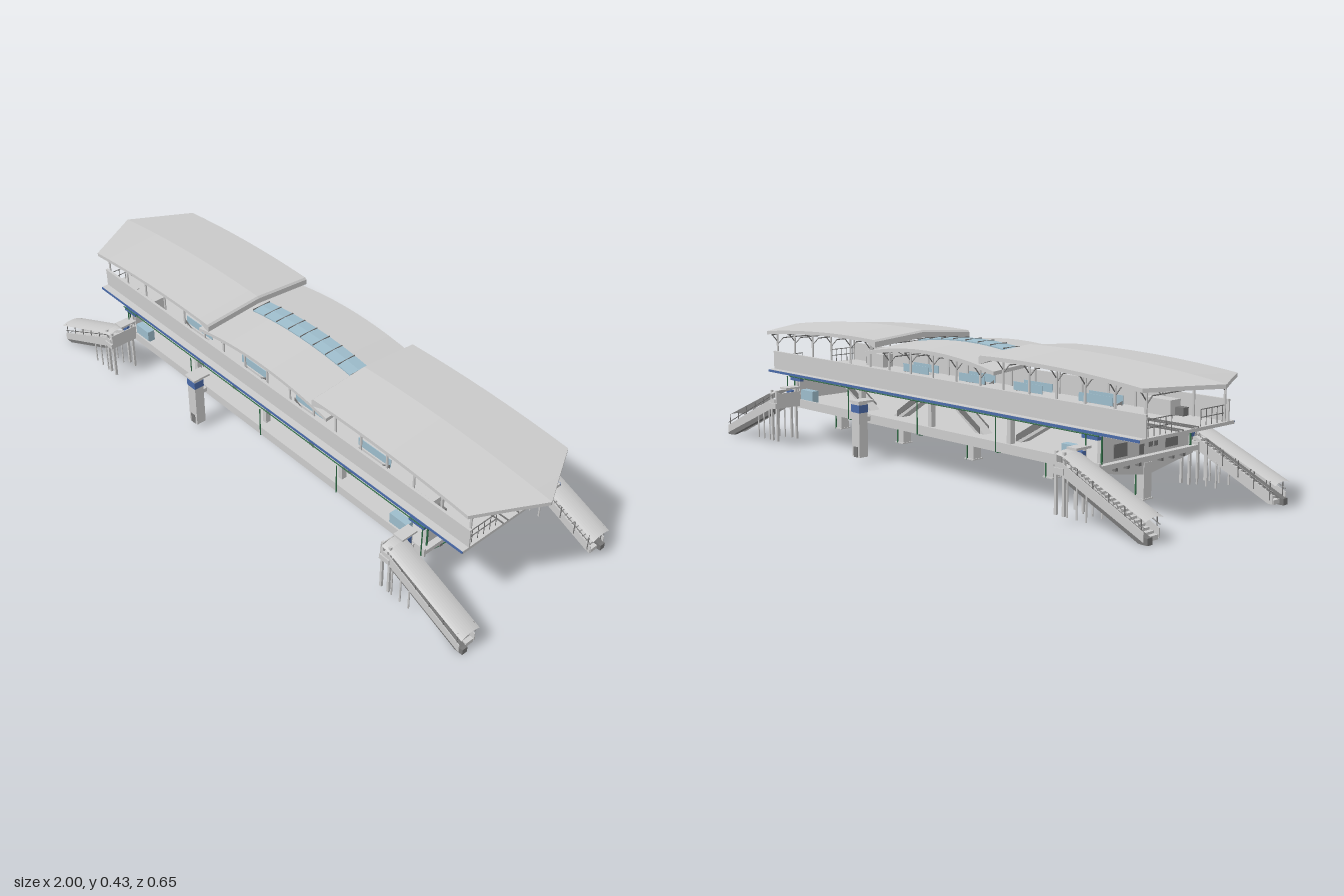
import * as THREE from 'three';

const paint = (color) => new THREE.MeshStandardMaterial({ color, flatShading: true, side: THREE.DoubleSide });
const grey = paint(0xcccccc), dark = paint(0x777777), blue = paint(0x4a6aa8);
const glass = paint(0x9dbccb), green = paint(0x2f6b45);

function add(parent, name, geometry, material = grey) {
  const mesh = new THREE.Mesh(geometry, material);
  mesh.name = name;
  parent.add(mesh);
  return mesh;
}

// box given by its limits on each axis
function box(parent, name, [x0, x1], [y0, y1], [z0, z1], material) {
  const g = new THREE.BoxGeometry(Math.abs(x1 - x0), Math.abs(y1 - y0), Math.abs(z1 - z0));
  g.translate((x0 + x1) / 2, (y0 + y1) / 2, (z0 + z1) / 2);
  return add(parent, name, g, material);
}

// thin round bar between two points
function bar(parent, name, a, b, r = 0.002, material = grey) {
  const p = new THREE.Vector3(...a), d = new THREE.Vector3(...b).sub(p);
  const g = new THREE.CylinderGeometry(r, r, d.length(), 6);
  const mesh = add(parent, name, g, material);
  mesh.position.copy(p).addScaledVector(d, 0.5);
  mesh.quaternion.setFromUnitVectors(new THREE.Vector3(0, 1, 0), d.normalize());
  return mesh;
}

// outline in x and y, pushed out from z0 to z1
function prism(parent, name, points, z0, z1, material) {
  const shape = new THREE.Shape(points.map(([x, y]) => new THREE.Vector2(x, y)));
  const g = new THREE.ExtrudeGeometry(shape, { depth: z1 - z0, bevelEnabled: false });
  return add(parent, name, g.translate(0, 0, z0), material);
}

// closed solid from cross-sections that run along +x, ridge point first
function loft(sections) {
  const n = sections[0].length, pos = sections.flat(2), index = [];
  for (let i = 0; i < sections.length - 1; i++)
    for (let j = 0; j < n; j++) {
      const a = i * n + j, d = i * n + (j + 1) % n;
      index.push(a, a + n, d + n, a, d + n, d);
    }
  const e = (sections.length - 1) * n;
  for (let j = 1; j < n - 1; j++) index.push(0, j, j + 1, e, e + j + 1, e + j);
  const g = new THREE.BufferGeometry();
  g.setAttribute('position', new THREE.Float32BufferAttribute(pos, 3));
  g.setIndex(index);
  g.computeVertexNormals();
  return g;
}

// ridge heights and gable roof shells
const outerRidge = (x) => 0.428 - 0.041 * ((Math.abs(x) - 0.4) / 0.6) ** 2;
const centreRidge = (x) => 0.415 - 0.033 * (x / 0.31) ** 2;
const halfWidth = (x) => (x <= 0.885 ? 0.21 : Math.max(0.002, 0.21 * (1 - x) / 0.115));
const drop = (z) => 0.08 * Math.abs(z);
function roofShell(xs, ridge, width, thick) {
  return loft(xs.map((x) => {
    const y = ridge(x), w = width(x), e = y - drop(w), t = thick(x);
    return [[x, y, 0], [x, e, -w], [x, e - t, -w], [x, y - t, 0], [x, e - t, w], [x, e, w]];
  }));
}

// posts, brackets and a truss carrying the roof at one station
function roofFrame(parent, x, ridge) {
  const f = new THREE.Group();
  f.name = 'roofFrame';
  const y = ridge(x) - 0.012, at = (z) => y - drop(z), low = y - 0.034;
  bar(f, 'tieBar', [x, low, -0.15], [x, low, 0.15], 0.002, dark);
  for (const s of [-1, 1]) {
    bar(f, 'roofPost', [x, 0.245, s * 0.175], [x, at(0.175), s * 0.175], 0.004);
    bar(f, 'rafter', [x, y - 0.003, 0], [x, at(0.2) - 0.003, s * 0.2], 0.003, dark);
    bar(f, 'bracket', [x, low - 0.022, s * 0.175], [x, low, s * 0.15], 0.002, dark);
    bar(f, 'bracket', [x, low - 0.012, s * 0.175], [x, at(0.2), s * 0.2], 0.002, dark);
    for (let k = 0; k < 4; k++) {
      const z = s * k * 0.0375, z2 = s * (k + 1) * 0.0375;
      bar(f, 'trussWeb', [x, k % 2 ? low : at(z), z], [x, k % 2 ? at(z2) : low, z2], 0.0012, dark);
    }
  }
  parent.add(f);
}

// sloping stair and escalator with barrel canopy; s is the side in z
function entrance(parent, s) {
  const g = new THREE.Group();
  g.name = 'entranceStair';
  const x0 = 0.7, x1 = 0.99, y0 = 0.155, n = 20, dx = (x1 - x0) / n, dy = (y0 - 0.012) / n;
  const steps = [];
  for (let i = 0; i < n; i++) steps.push([x0 + i * dx, y0 - i * dy], [x0 + (i + 1) * dx, y0 - i * dy]);
  steps.push([x1, 0.006], [x1 - 0.02, 0.006], [x0, y0 - 0.025]);
  prism(g, 'steps', steps, 0.26, 0.29);
  prism(g, 'escalator', [[x0, y0], [x1, 0.02], [1, 0.02], [1, 0], [x1 - 0.02, 0], [x0, y0 - 0.035]], 0.295, 0.315, dark);
  for (const z of [0.254, 0.318]) {
    prism(g, 'parapet', [[0.68, 0.17], [x0, 0.17], [x1, 0.035], [x1, 0.008], [x0, 0.135], [0.68, 0.135]], z, z + 0.003);
    bar(g, 'handrail', [x0, 0.182, z], [x1, 0.045, z], 0.0015, dark);
    for (let i = 0; i < 6; i++) {
      const x = 0.7 + i * 0.056, t = (x - 0.68) / 0.32;
      bar(g, 'canopyPost', [x, 0.15 - t * 0.14, z], [x, 0.193 - t * 0.125, z], 0.0018, dark);
    }
    for (const x of [0.72, 0.755, 0.79]) bar(g, 'stairLeg', [x, 0.02, z], [x, 0.145 - (x - 0.7) * 0.49, z], 0.003);
  }
  const canopy = new THREE.PlaneGeometry(0.32, 0.075, 12, 10).rotateX(-Math.PI / 2);
  const p = canopy.attributes.position;
  for (let i = 0; i < p.count; i++) {
    const t = p.getX(i) / 0.32 + 0.5, z = p.getZ(i) / 0.0375;
    p.setXYZ(i, 0.68 + t * 0.32, 0.2 - 0.127 * Math.max(0, (t - 0.06) / 0.94) - 0.008 * z * z, 0.2875 + p.getZ(i));
  }
  canopy.computeVertexNormals();
  add(g, 'stairCanopy', canopy);
  // landing that joins the stair to the concourse
  box(g, 'landing', [0.67, 0.71], [0.137, 0.155], [0.21, 0.325]);
  box(g, 'landingRoof', [0.675, 0.712], [0.198, 0.205], [0.215, 0.275]);
  box(g, 'landingSign', [0.675, 0.735], [0.222, 0.232], [0.2, 0.215], blue);
  box(g, 'landingPanel', [0.68, 0.71], [0.168, 0.193], [0.235, 0.25], blue);
  box(g, 'gateKiosk', [0.6, 0.67], [0.155, 0.195], [0.19, 0.216], glass);
  box(g, 'landingWall', [0.669, 0.672], [0.155, 0.19], [0.22, 0.32]);
  for (const x of [0.675, 0.705]) for (const z of [0.235, 0.315])
    box(g, 'landingLeg', [x - 0.004, x + 0.004], [0.02, 0.2], [z - 0.004, z + 0.004]);
  g.scale.z = s;
  parent.add(g);
}

function liftTower(parent) {
  const g = new THREE.Group();
  g.name = 'liftTower';
  box(g, 'liftShaft', [0.263, 0.303], [0.02, 0.205], [-0.27, -0.235]);
  box(g, 'liftCap', [0.258, 0.308], [0.203, 0.21], [-0.275, -0.21]);
  box(g, 'liftBand', [0.262, 0.304], [0.17, 0.196], [-0.271, -0.234], blue);
  box(g, 'liftDoor', [0.273, 0.293], [0.02, 0.055], [-0.272, -0.27], dark);
  box(g, 'liftBridge', [0.263, 0.303], [0.14, 0.155], [-0.24, -0.21]);
  parent.add(g);
}

// inner stair between concourse and platform, with its guard
function innerStair(parent, xTop, xLow, z) {
  const d = Math.sign(xLow - xTop) * 0.02;
  prism(parent, 'innerStair', [[xTop, 0.243], [xTop + d, 0.243], [xLow + d, 0.155], [xLow - d, 0.155], [xTop, 0.225]], z - 0.018, z + 0.018);
  for (const s of [-1, 1]) {
    prism(parent, 'innerBalustrade', [[xTop, 0.258], [xLow, 0.175], [xLow, 0.155], [xTop, 0.235]], z + s * 0.019 - 0.001, z + s * 0.019 + 0.001, dark);
    box(parent, 'stairwellGuard', [xTop, xLow], [0.247, 0.275], [z + s * 0.024 - 0.001, z + s * 0.024 + 0.001], glass);
  }
}

function endWall(parent) {
  const g = new THREE.Group();
  g.name = 'endWall';
  box(g, 'wall', [0.72, 0.73], [0.15, 0.236], [-0.195, 0.195]);
  box(g, 'endSign', [0.73, 0.735], [0.195, 0.222], [-0.052, 0.052], blue);
  box(g, 'endDoor', [0.73, 0.732], [0.155, 0.185], [0.012, 0.032], dark);
  for (const z of [-0.05, -0.026]) box(g, 'smallWindow', [0.73, 0.732], [0.172, 0.187], [z, z + 0.017], dark);
  for (const z of [-0.142, 0.085]) box(g, 'louvre', [0.73, 0.732], [0.16, 0.2], [z, z + 0.057], dark);
  for (const z of [-0.197, 0.197]) bar(g, 'drainPipe', [0.735, 0.15, z], [0.735, 0.24, z], 0.003, green);
  parent.add(g);
}

// everything at one end; the other end is the same turned half round
function buildEnd() {
  const g = new THREE.Group();
  g.name = 'stationEnd';
  const xs = [0.25, 0.256, 0.3, 0.36, 0.42, 0.5, 0.58, 0.66, 0.74, 0.82, 0.885, 0.945, 1];
  const rounded = (x) => outerRidge(x) - (x < 0.253 ? 0.006 : 0);
  add(g, 'outerRoof', roofShell(xs, rounded, halfWidth, (x) => (x < 0.253 ? 0.018 : x < 0.3 ? 0.026 : 0.012)));
  for (let i = 0; i < 6; i++) roofFrame(g, 0.32 + i * 0.11, outerRidge);
  for (let z = -0.18; z < 0.19; z += 0.06)
    for (let i = 1; i < xs.length - 3; i++)
      bar(g, 'purlin', [xs[i], outerRidge(xs[i]) - drop(z) - 0.015, z], [xs[i + 1], outerRidge(xs[i + 1]) - drop(z) - 0.015, z], 0.002, dark);
  for (const s of [-1, 1]) {
    entrance(g, s);
    innerStair(g, 0.5, 0.36, s * 0.14);
    innerStair(g, 0.07, 0.2, s * 0.14);
    // platform end rails and equipment
    for (const y of [0.27, 0.293]) bar(g, 'endRail', [0.87, y, s * 0.065], [0.87, y, s * 0.175], 0.0015, dark);
    for (let k = 0; k < 5; k++) bar(g, 'railPost', [0.87, 0.245, s * (0.065 + k * 0.025)], [0.87, 0.293, s * (0.065 + k * 0.025)], 0.0012, dark);
    box(g, 'platformRoom', [0.62, 0.72], [0.245, 0.293], [s * 0.118, s * 0.165]);
    box(g, 'equipmentBox', [0.72, 0.75], [0.247, 0.272], [s * 0.14, s * 0.165], dark);
  }
  liftTower(g);
  endWall(g);
  return g;
}

export function createModel() {
  const model = new THREE.Group();
  model.name = 'elevatedStation';
  const end = buildEnd(), opposite = end.clone();
  opposite.rotation.y = Math.PI;
  model.add(end, opposite);

  // concourse deck and its edge beams
  box(model, 'concourseDeck', [-0.75, 0.75], [0.137, 0.152], [-0.215, 0.215]);
  for (const s of [-1, 1]) {
    box(model, 'deckEdge', [-0.75, 0.75], [0.13, 0.16], [s * 0.215, s * 0.222]);
    for (const z of [0.05, 0.1, 0.15]) box(model, 'deckBeam', [-0.75, 0.75], [0.128, 0.138], [s * z - 0.005, s * z + 0.005], dark);
  }

  // platform slab with stairwell openings
  const slab = new THREE.Shape([[-0.88, -0.21], [0.88, -0.21], [0.88, 0.21], [-0.88, 0.21]].map((p) => new THREE.Vector2(...p)));
  for (const [a, b] of [[-0.49, -0.37], [-0.17, -0.08], [0.08, 0.17], [0.37, 0.49]]) for (const z of [-0.14, 0.14])
    slab.holes.push(new THREE.Path([[a, z - 0.02], [a, z + 0.02], [b, z + 0.02], [b, z - 0.02]].map((p) => new THREE.Vector2(...p))));
  add(model, 'platformSlab', new THREE.ExtrudeGeometry(slab, { depth: 0.01, bevelEnabled: false }).rotateX(-Math.PI / 2).translate(0, 0.235, 0));
  for (const s of [-1, 1]) {
    box(model, 'sideParapet', [-0.88, 0.88], [0.245, 0.306], [s * 0.181, s * 0.186]);
    box(model, 'parapetCap', [-0.88, 0.88], [0.304, 0.31], [s * 0.179, s * 0.188]);
    box(model, 'slabStripe', [-0.88, 0.88], [0.236, 0.244], [s * 0.21, s * 0.212], blue);
    for (const z of [0.022, 0.042]) box(model, 'rail', [-0.88, 0.88], [0.245, 0.249], [s * z, s * (z + 0.003)], dark);
    bar(model, 'gutterPipe', [-0.74, 0.235, s * 0.216], [0.74, 0.235, s * 0.216], 0.002, green);
  }

  // piers with tapered heads, and the columns above them
  for (let i = -2; i <= 2; i++) {
    const x = i * 0.36;
    box(model, 'pier', [x - 0.018, x + 0.018], [0.02, 0.13], [-0.017, 0.017]);
    box(model, 'pierFoot', [x - 0.021, x + 0.021], [0.02, 0.024], [-0.022, 0.022]);
    const head = [[0.137, -0.21], [0.128, -0.21], [0.096, -0.02], [0.096, 0.02], [0.128, 0.21], [0.137, 0.21]];
    add(model, 'pierHead', loft([x - 0.016, x + 0.016].map((px) => head.map(([y, z]) => [px, y, z]))));
    bar(model, 'drainPipe', [x + 0.01, 0.02, -0.02], [x + 0.01, 0.1, -0.02], 0.0025, green);
    for (const s of [-1, 1]) {
      box(model, 'concourseColumn', [x - 0.008, x + 0.008], [0.15, 0.236], [s * 0.172, s * 0.19]);
      bar(model, 'drainPipe', [x + 0.02, 0.13, s * 0.225], [x + 0.02, 0.236, s * 0.225], 0.002, green);
      bar(model, 'drainPipe', [x + 0.017, 0.128, s * 0.222], [x + 0.017, 0.098, s * 0.02], 0.002, green);
    }
  }

  // lower middle roof with its skylight
  const xs = Array.from({ length: 13 }, (_, i) => -0.31 + i * 0.62 / 12);
  add(model, 'middleRoof', roofShell(xs, centreRidge, () => 0.205, () => 0.012));
  const sx = Array.from({ length: 9 }, (_, i) => -0.235 + i * 0.47 / 8);
  add(model, 'skylight', roofShell(sx, (x) => centreRidge(x) + 0.004, () => 0.036, () => 0.006), glass);
  for (const x of sx) box(model, 'skylightBar', [x - 0.001, x + 0.001], [centreRidge(x) - 0.002, centreRidge(x) + 0.005], [-0.036, 0.036], dark);
  for (const x of [-0.22, -0.11, 0, 0.11, 0.22]) roofFrame(model, x, centreRidge);
  return model;
}
